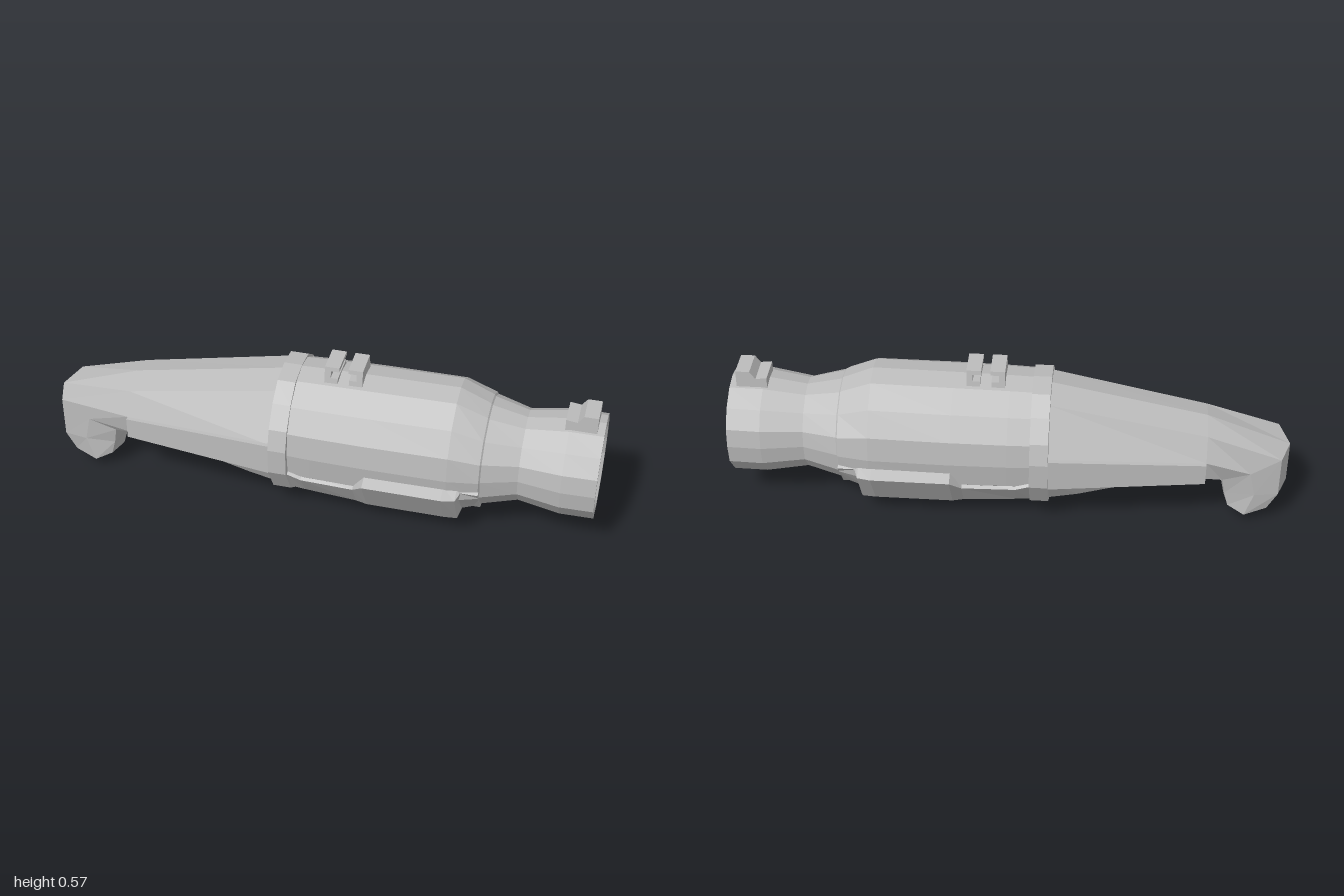
import * as THREE from 'three';

const metal = new THREE.MeshStandardMaterial({ color: 0xbcbcbc });
metal.flatShading = true;
metal.name = 'grey metal';

// Half outline of the barrel, top to bottom, as [y, z] offsets from its axis
const AXIS = 0.285;
const OUTLINE = [[0.162, 0], [0.152, 0.055], [0.115, 0.115], [0.06, 0.152],
  [0, 0.16], [-0.062, 0.152], [-0.13, 0.1], [-0.16, 0]];

// Completes a half ring of [x, y, z] points, whose ends lie on z = 0, with its mirror image
function mirrorRing(half) {
  const back = half.slice(1, -1).reverse().map(([x, y, z]) => [x, y, -z]);
  return [...half, ...back];
}

const barrelRing = ([x, sy, sz]) =>
  mirrorRing(OUTLINE.map(([y, z]) => [x, AXIS + y * sy, z * sz]));

const flatRing = (x, half) => mirrorRing(half.map(([y, z]) => [x, y, z]));

// Skins a row of rings (running towards +x) and closes both ends
function loft(name, rings) {
  const pos = [];
  const tri = (a, b, c) => pos.push(...a, ...b, ...c);
  const n = rings[0].length;
  for (let i = 0; i < rings.length - 1; i++) {
    for (let j = 0; j < n; j++) {
      const k = (j + 1) % n, r = rings[i], s = rings[i + 1];
      tri(r[j], r[k], s[k]);
      tri(r[j], s[k], s[j]);
    }
  }
  const centre = (r) => [0, 1, 2].map((a) => r.reduce((t, p) => t + p[a], 0) / n);
  const first = rings[0], last = rings[rings.length - 1];
  const c0 = centre(first), c1 = centre(last);
  for (let j = 0; j < n; j++) {
    const k = (j + 1) % n;
    tri(c0, first[k], first[j]);
    tri(c1, last[j], last[k]);
  }
  const geo = new THREE.BufferGeometry();
  geo.setAttribute('position', new THREE.Float32BufferAttribute(pos, 3));
  geo.computeVertexNormals();
  const mesh = new THREE.Mesh(geo, metal);
  mesh.name = name;
  return mesh;
}

// Side profile extruded across z, narrowing from its foot to its top
function block(name, points, footWidth, topWidth, y0, y1) {
  const shape = new THREE.Shape(points.map(([x, y]) => new THREE.Vector2(x, y)));
  const geo = new THREE.ExtrudeGeometry(shape, { depth: 1, bevelEnabled: false });
  geo.translate(0, 0, -0.5);
  const p = geo.attributes.position;
  for (let i = 0; i < p.count; i++) {
    const t = (p.getY(i) - y0) / (y1 - y0);
    p.setZ(i, p.getZ(i) * (footWidth + (topWidth - footWidth) * t));
  }
  geo.computeVertexNormals();
  const mesh = new THREE.Mesh(geo, metal);
  mesh.name = name;
  return mesh;
}

export function createModel() {
  const model = new THREE.Group();
  model.name = 'device';

  // Barrel, waist and flared muzzle, turning inwards to a conical bore
  model.add(loft('barrel', [
    [-0.1, 1.46, 1.37], [0, 1.48, 1.4], [0.2, 1.5, 1.42], [0.49, 1.52, 1.4],
    [0.6, 1.22, 1.29], [0.605, 1.18, 1.25], [0.73, 1, 1.01], [0.88, 1.15, 1.16],
    [1, 1.15, 1.14], [1, 1, 1], [0.8, 0, 0],
  ].map(barrelRing)));

  // Collar between barrel and handle
  const collar = [[0.525, 0], [0.512, 0.09], [0.46, 0.16], [0.385, 0.215],
    [0.31, 0.239], [0.21, 0.236], [0.1, 0.172], [0.06, 0.118], [0.013, 0]];
  model.add(loft('collar', [flatRing(-0.145, collar), flatRing(-0.08, collar)]));

  // Keeled guard under the barrel, stepped up and wider towards the muzzle
  const wide = [[0.25, 0], [0.25, 0.21], [0.228, 0.262], [0.075, 0.165], [0.011, 0]];
  model.add(loft('lowerGuard', [
    flatRing(-0.08, [[0.215, 0], [0.215, 0.2], [0.2, 0.221], [0.09, 0.15], [0.038, 0]]),
    flatRing(-0.03, [[0.2, 0], [0.2, 0.2], [0.185, 0.222], [0.087, 0.152], [0.033, 0]]),
    flatRing(0.16, [[0.2, 0], [0.2, 0.2], [0.185, 0.228], [0.08, 0.16], [0.02, 0]]),
    flatRing(0.2, wide),
    flatRing(0.48, wide),
    flatRing(0.528, [[0.245, 0], [0.245, 0.21], [0.226, 0.25], [0.077, 0.163], [0.011, 0]]),
    flatRing(0.54, [[0.24, 0], [0.24, 0.2], [0.236, 0.218], [0.11, 0.13], [0.066, 0]]),
  ]));
  const lip = [[0.242, 0], [0.242, 0.2], [0.235, 0.212], [0.112, 0.124], [0.068, 0]];
  model.add(loft('guardLip', [flatRing(0.53, lip), flatRing(0.602, lip)]));

  // Handle curling down into a blunt, keeled hook
  model.add(loft('handle', [
    [[-0.95, 0.03, 0], [-0.93, 0.06, 0.1], [-0.85, 0.037, 0.118], [-0.79, 0.065, 0.1], [-0.78, 0.04, 0]],
    [[-1, 0.12, 0], [-0.965, 0.13, 0.105], [-0.88, 0.13, 0.118], [-0.775, 0.12, 0.1], [-0.765, 0.11, 0]],
    [[-1, 0.28, 0], [-0.965, 0.285, 0.107], [-0.86, 0.225, 0.12], [-0.763, 0.185, 0.108], [-0.75, 0.18, 0]],
    [[-0.7, 0.39, 0], [-0.7, 0.367, 0.1], [-0.7, 0.28, 0.14], [-0.7, 0.2, 0.125], [-0.7, 0.187, 0]],
    [[-0.14, 0.503, 0], [-0.14, 0.48, 0.11], [-0.14, 0.31, 0.21], [-0.14, 0.2, 0.2], [-0.14, 0.12, 0]],
  ].map(mirrorRing)));

  // Keeled end face of the hook
  model.add(loft('hookTip', [
    [[-0.95, 0.03, 0], [-0.93, 0.06, 0.1], [-0.93, 0.08, 0]],
    [[-0.845, 0.002, 0], [-0.85, 0.037, 0.118], [-0.85, 0.08, 0]],
    [[-0.78, 0.04, 0], [-0.79, 0.065, 0.1], [-0.79, 0.08, 0]],
  ].map((half) => mirrorRing(half).reverse())));

  // Belly below the handle
  model.add(loft('handleBelly', [
    flatRing(-0.72, [[0.2, 0], [0.2, 0.09], [0.192, 0.06], [0.185, 0]]),
    flatRing(-0.25, [[0.2, 0], [0.2, 0.17], [0.09, 0.11], [0.055, 0]]),
    flatRing(-0.14, [[0.2, 0], [0.2, 0.195], [0.075, 0.12], [0.04, 0]]),
  ]));

  // Raised strips along both sides of the handle
  for (const side of [1, -1]) {
    const strip = (x, top, bottom, inner, outer) => {
      const ring = [[x, top, side * inner], [x, top, side * outer],
        [x, bottom, side * outer], [x, bottom, side * inner]];
      return side > 0 ? ring : ring.reverse();
    };
    model.add(loft(side > 0 ? 'frontStrip' : 'backStrip', [
      strip(-0.7, 0.28, 0.2, 0.09, 0.155), strip(-0.14, 0.315, 0.195, 0.17, 0.224),
    ]));
  }

  // Pair of facing brackets on top
  for (const dir of [1, -1]) {
    const profile = [[-0.068, 0.51], [-0.02, 0.51], [-0.02, 0.533], [-0.046, 0.533],
      [-0.046, 0.558], [-0.016, 0.558], [-0.016, 0.573], [-0.068, 0.573]]
      .map(([x, y]) => [0.085 + dir * x, y]);
    model.add(block(dir > 0 ? 'rearBracket' : 'foreBracket', profile, 0.13, 0.106, 0.51, 0.573));
  }

  // Sight block above the muzzle
  model.add(block('muzzleSight', [[0.865, 0.44], [0.975, 0.44], [0.975, 0.523],
    [0.925, 0.523], [0.905, 0.495], [0.865, 0.5]], 0.112, 0.104, 0.44, 0.523));

  return model;
}
